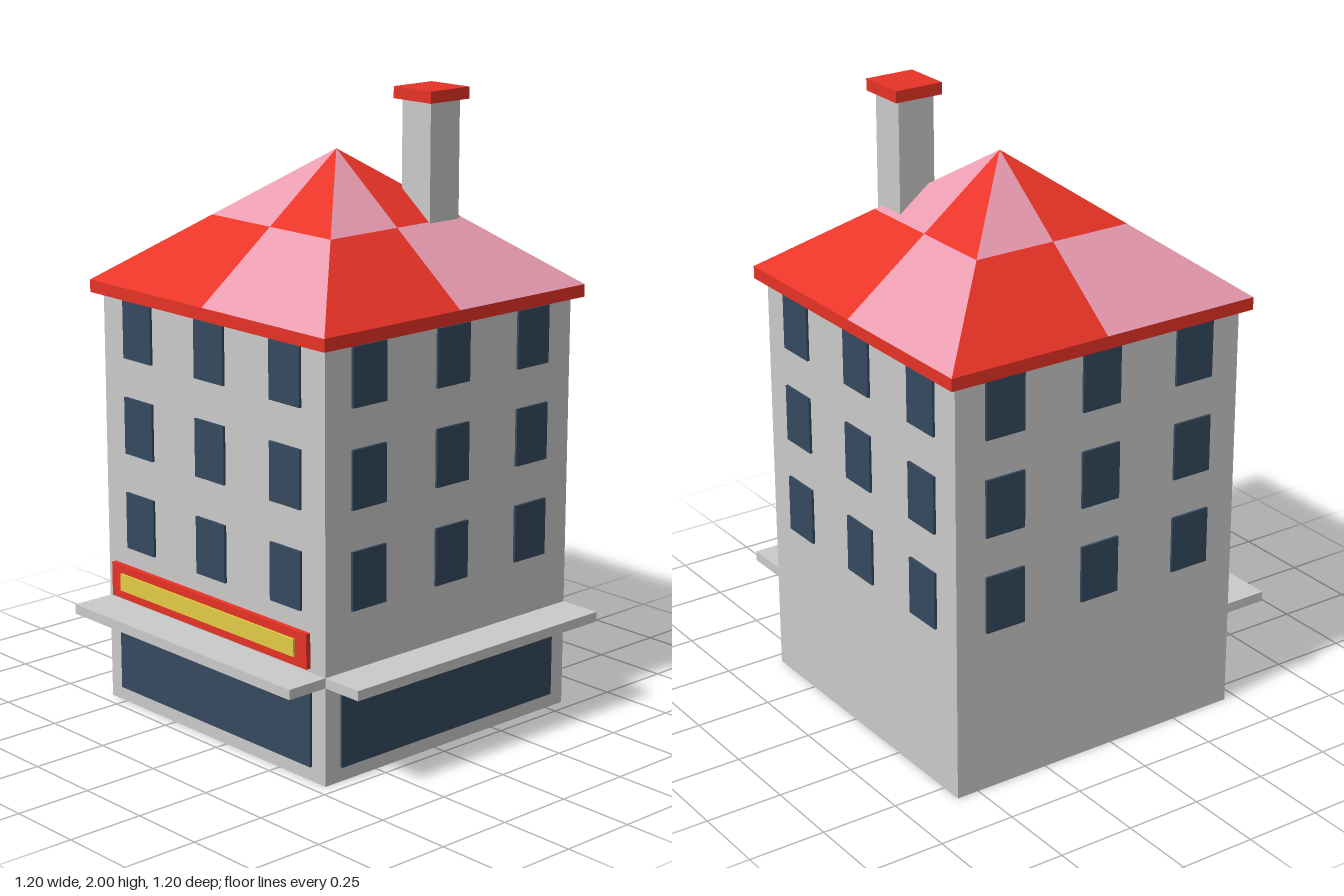
import * as THREE from 'three';

const paint = (name, color) => {
  const m = new THREE.MeshStandardMaterial({ color });
  m.name = name;
  return m;
};

export function createModel() {
  const grey = paint('wall grey', 0xcacaca);
  const red = paint('roof red', 0xea3326);
  const pink = paint('roof pink', 0xec9eb2);
  const blue = paint('window blue', 0x34495e);
  const yellow = paint('sign yellow', 0xe2cb44);

  const model = new THREE.Group();
  model.name = 'cornerBuilding';

  // the tower is offset so that the awnings fit inside the footprint
  const tower = new THREE.Group();
  tower.name = 'tower';
  tower.position.set(-0.058, 0, -0.058);
  model.add(tower);

  // box given by its minimum and maximum corners
  const box = (parent, name, material, [x0, y0, z0], [x1, y1, z1]) => {
    const mesh = new THREE.Mesh(new THREE.BoxGeometry(x1 - x0, y1 - y0, z1 - z0), material);
    mesh.position.set((x0 + x1) / 2, (y0 + y1) / 2, (z0 + z1) / 2);
    mesh.name = name;
    parent.add(mesh);
    return mesh;
  };

  const wall = 0.516, eave = 0.546, eaveY = 1.385, peakY = 1.805;
  box(tower, 'walls', grey, [-wall, 0, -wall], [wall, 1.345, wall]);
  box(tower, 'eaves', red, [-eave, 1.345, -eave], [eave, eaveY, eave]);

  // flat polygon from corners listed counter-clockwise
  const panel = (parent, name, material, corners) => {
    const geo = new THREE.BufferGeometry();
    const pos = [];
    for (let i = 1; i < corners.length - 1; i++) pos.push(...corners[0], ...corners[i], ...corners[i + 1]);
    geo.setAttribute('position', new THREE.Float32BufferAttribute(pos, 3));
    geo.computeVertexNormals();
    const mesh = new THREE.Mesh(geo, material);
    mesh.name = name;
    parent.add(mesh);
  };

  // four sides: front, right, back, left
  ['front', 'right', 'back', 'left'].forEach((name, i) => {
    const side = new THREE.Group();
    side.name = name + 'Side';
    side.rotation.y = i * Math.PI / 2;
    tower.add(side);

    // three rows of three windows
    for (const y of [0.53, 0.842, 1.152])
      for (const x of [-0.345, 0, 0.345])
        box(side, 'window', blue, [x - 0.068, y, wall - 0.001], [x + 0.068, y + 0.184, wall + 0.008]);

    // checkered roof slope
    const h = eave / 2, midY = (eaveY + peakY) / 2;
    const peak = [0, peakY, 0], mid = [0, midY, h], base = [0, eaveY, eave];
    const midL = [-h, midY, h], midR = [h, midY, h];
    panel(side, 'roofLowerLeft', red, [[-eave, eaveY, eave], base, mid, midL]);
    panel(side, 'roofLowerRight', pink, [base, [eave, eaveY, eave], midR, mid]);
    panel(side, 'roofUpperLeft', pink, [midL, mid, peak]);
    panel(side, 'roofUpperRight', red, [mid, midR, peak]);

    // shop window and awning on the two street sides
    if (i < 2) {
      box(side, 'shopWindow', blue, [-0.456, 0.046, wall - 0.001], [0.456, 0.292, wall + 0.008]);
      box(side, 'awning', grey, [-wall, 0.313, wall - 0.01], [wall, 0.345, 0.658]);
    }
  });

  // shop sign, standing just clear of the front wall
  box(tower, 'signBoard', red, [-0.465, 0.365, 0.53], [0.465, 0.476, 0.546]);
  box(tower, 'signPanel', yellow, [-0.415, 0.393, 0.545], [0.415, 0.449, 0.553]);

  // chimney
  box(model, 'chimneyStack', grey, [0.096, 1.45, -0.315], [0.22, 1.97, -0.191]);
  box(model, 'chimneyCap', red, [0.077, 1.963, -0.335], [0.24, 2, -0.172]);

  return model;
}
